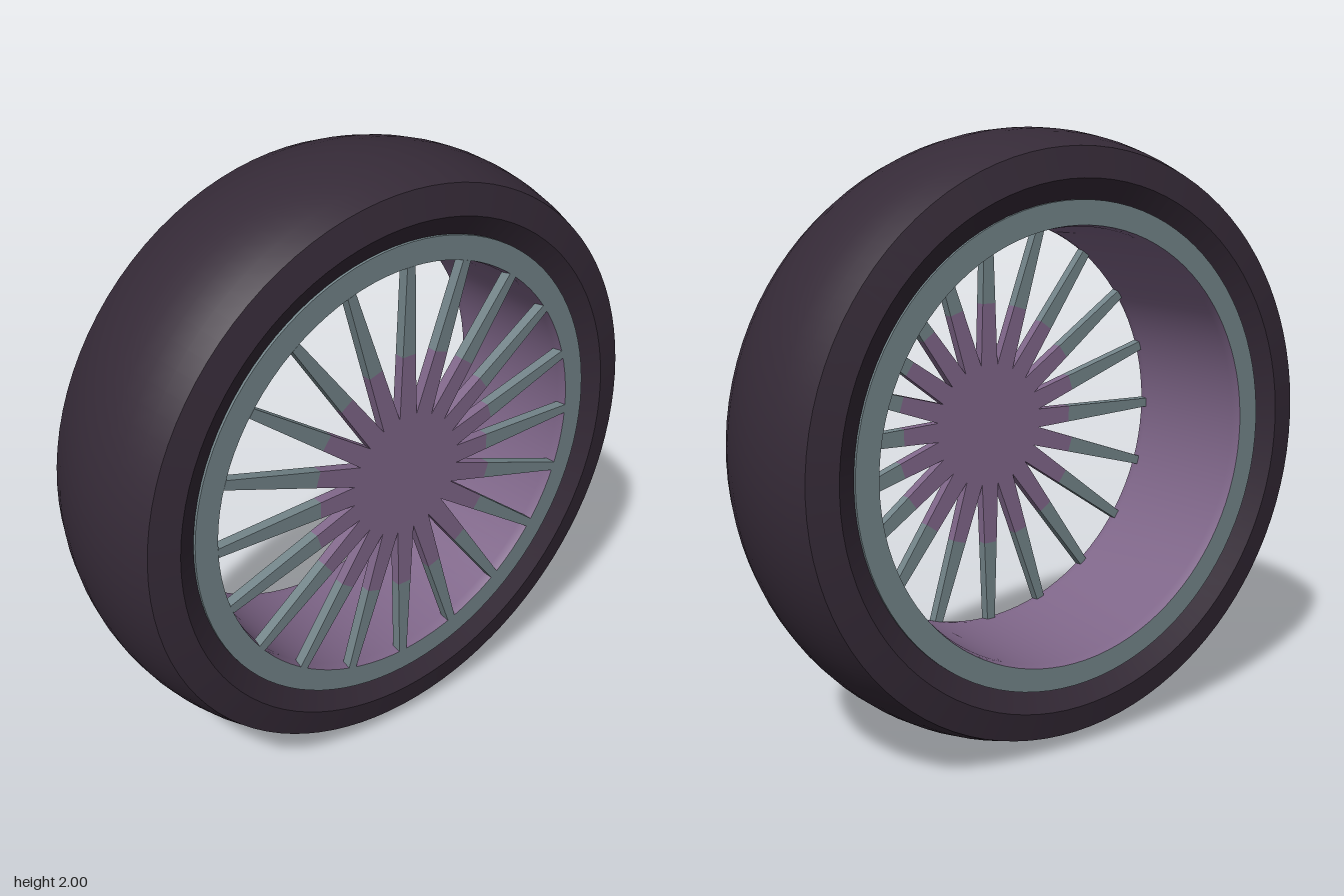
import * as THREE from 'three';

const material = (name, color) => {
  const m = new THREE.MeshStandardMaterial({ color });
  m.name = name;
  return m;
};

export function createModel() {
  const rubber = material('dark rubber', 0x352a37);
  const metal = material('grey metal', 0x738489);
  const purple = material('purple metal', 0x80678a);

  const model = new THREE.Group();
  model.name = 'wheel';
  const wheel = new THREE.Group();
  wheel.name = 'wheelAssembly';
  wheel.position.y = 1;
  model.add(wheel);

  const add = (parent, name, geometry, mat) => {
    const mesh = new THREE.Mesh(geometry, mat);
    mesh.name = name;
    parent.add(mesh);
    return mesh;
  };

  // Smooth surface of revolution about z from [radius, z] points
  const band = (name, points, mat) => {
    const geometry = new THREE.LatheGeometry(points.map(([r, z]) => new THREE.Vector2(r, z)), 96);
    geometry.rotateX(Math.PI / 2);
    return add(wheel, name, geometry, mat);
  };
  // The same band on the front and, mirrored, on the back
  const bothSides = (name, points, mat) => {
    band(name + 'Front', points, mat);
    band(name + 'Back', points.map(([r, z]) => [r, -z]).reverse(), mat);
  };

  // Tyre: rounded tread, bevelled shoulders and inward sloping beads
  const tread = [];
  for (let i = -4; i <= 4; i++) tread.push([1 - 0.055 * (i / 4) ** 2, 0.27 * i / 4]);
  band('tyreTread', tread, rubber);
  bothSides('tyreShoulder', [[0.945, 0.27], [0.85, 0.29]], rubber);
  bothSides('tyreBead', [[0.85, 0.29], [0.78, 0.25]], rubber);

  // Rim: flat grey lips and a purple barrel
  bothSides('rimLip', [[0.785, 0.262], [0.708, 0.262]], metal);
  bothSides('rimLipEdge', [[0.785, 0.25], [0.785, 0.262]], metal);
  band('rimBarrel', [[0.708, 0.262], [0.702, 0.23], [0.702, -0.23], [0.708, -0.262]], purple);

  // Hub and spokes lie in one plane near the front
  const depth = 0.035, zBack = 0.228;
  const hub = new THREE.CylinderGeometry(0.205, 0.205, depth, 20);
  hub.rotateX(Math.PI / 2);
  hub.translate(0, 0, zBack + depth / 2);
  add(wheel, 'hub', hub, purple);

  // Spokes taper outwards, purple at the root and grey at the tip
  const halfWidth = r => 0.0335 - 0.035 * (r - 0.19);
  const spokePart = (r0, r1) => {
    const w0 = halfWidth(r0), w1 = halfWidth(r1);
    const shape = new THREE.Shape([[r0, -w0], [r1, -w1], [r1, w1], [r0, w0]]
      .map(([x, y]) => new THREE.Vector2(x, y)));
    const geometry = new THREE.ExtrudeGeometry(shape, { depth, bevelEnabled: false });
    return geometry.translate(0, 0, zBack);
  };
  const count = 20;
  for (let i = 0; i < count; i++) {
    const angle = i / count * Math.PI * 2;
    const split = 0.34 + 0.08 * Math.abs(Math.sin(angle));
    const spoke = new THREE.Group();
    spoke.name = 'spoke' + (i + 1);
    spoke.rotation.z = angle;
    add(spoke, 'spokeRoot', spokePart(0.19, split), purple);
    add(spoke, 'spokeTip', spokePart(split, 0.708), metal);
    wheel.add(spoke);
  }

  return model;
}
